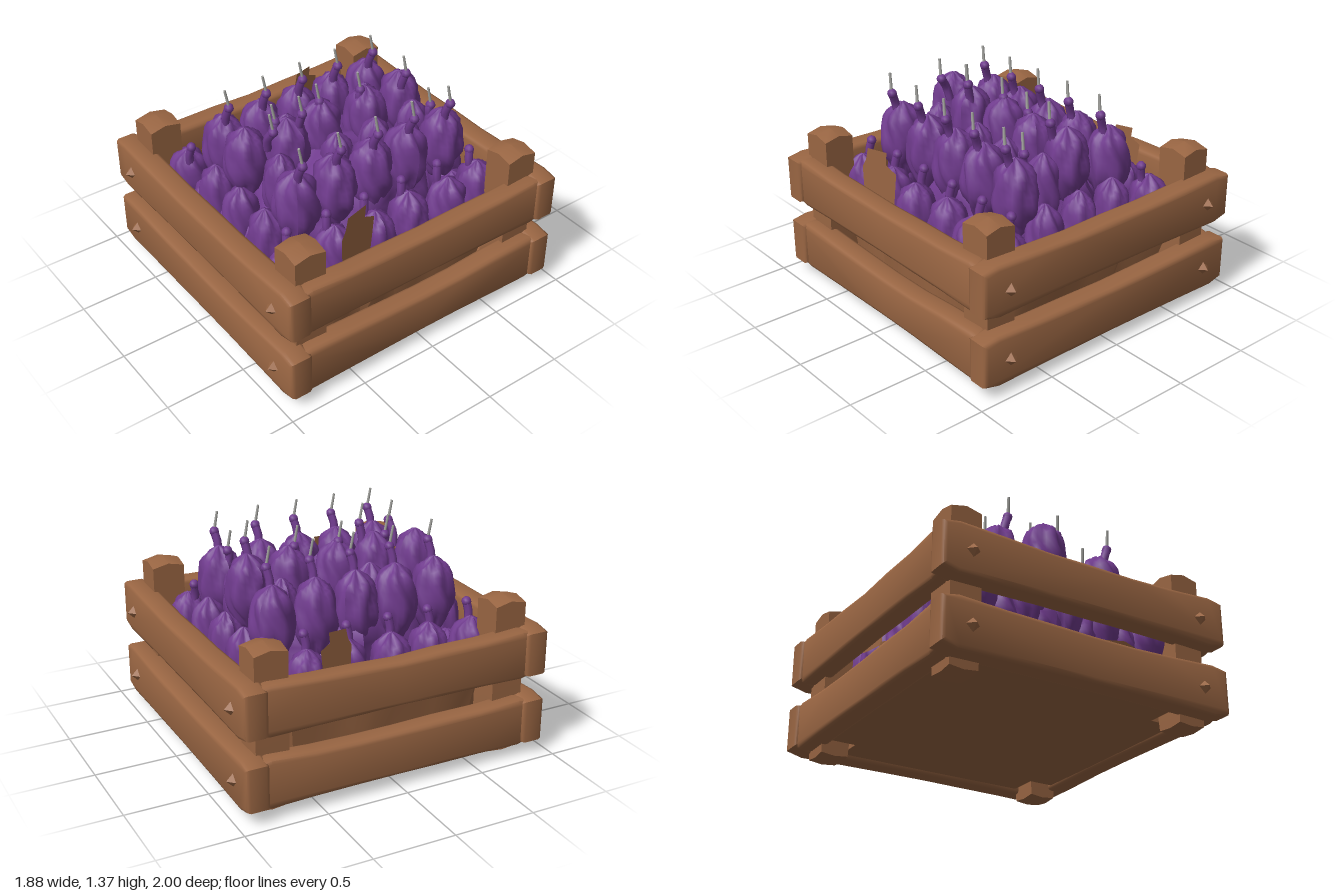
import * as THREE from 'three';
import { toCreasedNormals } from 'three/addons/utils/BufferGeometryUtils.js';

const wood = new THREE.MeshStandardMaterial({ color: 0x9a6643, side: THREE.DoubleSide });
wood.name = 'brown wood';
const purple = new THREE.MeshStandardMaterial({ color: 0x703b8e });
purple.name = 'grape purple';
const grey = new THREE.MeshStandardMaterial({ color: 0xa3a39f });
grey.name = 'stalk grey';

// Repeatable pseudo-random value from 0 to 1
const noise = (n) => {
  const v = Math.sin(n * 127.1 + 3.7) * 43758.5453;
  return v - Math.floor(v);
};

function add(parent, name, geometry, material, x = 0, y = 0, z = 0) {
  const mesh = new THREE.Mesh(geometry, material);
  mesh.name = name;
  mesh.position.set(x, y, z);
  parent.add(mesh);
  return mesh;
}

// Worn plank: wavy long edges, chipped ends and bevelled faces
function plankGeometry(half, height, depth, seed) {
  const b = 0.025, L = half - b, h = height / 2 - b;
  const pts = [];
  const wave = (t) => 0.03 * (1 - t * t) * (0.6 + 0.5 * noise(seed + Math.round(t * 3)));
  for (let i = -3; i <= 3; i++) pts.push(new THREE.Vector2(i / 3 * (L - 0.08), -h + wave(i / 3) * 0.4));
  pts.push(new THREE.Vector2(L, -h + 0.02), new THREE.Vector2(L, h - 0.015));
  for (let i = 3; i >= -3; i--) pts.push(new THREE.Vector2(i / 3 * (L - 0.08), h - wave(i / 3)));
  pts.push(new THREE.Vector2(-L, h - 0.015), new THREE.Vector2(-L, -h + 0.02));
  const g = new THREE.ExtrudeGeometry(new THREE.Shape(pts), {
    depth: depth - 2 * b, bevelEnabled: true, bevelSize: b, bevelThickness: b, bevelSegments: 2,
  });
  g.translate(0, 0, -(depth / 2 - b));
  return toCreasedNormals(g, 0.8);
}

// Corner post with a low peak and a tapered foot
function postGeometry() {
  const g = new THREE.BoxGeometry(0.19, 0.94, 0.2, 2, 4, 2);
  const p = g.attributes.position;
  for (let i = 0; i < p.count; i++) {
    const x = p.getX(i), y = p.getY(i), z = p.getZ(i);
    const centred = (Math.abs(x) < 0.01 ? 0.5 : 0) + (Math.abs(z) < 0.01 ? 0.5 : 0);
    if (y > 0.46) p.setY(i, y + 0.045 * centred);
    if (y < -0.46) p.setXYZ(i, x * 0.9, y + (1 - centred) * 0.02, z * 0.9);
  }
  return toCreasedNormals(g, 0.5);
}

// Lumpy bunch: a sphere with rounded lobes
function bunchGeometry(phase) {
  const g = new THREE.SphereGeometry(1, 28, 16);
  const p = g.attributes.position, v = new THREE.Vector3();
  for (let i = 0; i < p.count; i++) {
    v.fromBufferAttribute(p, i);
    const a = Math.atan2(v.z, v.x), f = Math.acos(THREE.MathUtils.clamp(v.y, -1, 1));
    const r = 0.98 + 0.1 * Math.sin(f) * Math.cos(6 * a + 2 * Math.sin(3 * f + phase)) + 0.03 * Math.cos(7 * f);
    const taper = v.y < 0 ? 1 + 0.15 * v.y : 1;
    p.setXYZ(i, v.x * r * taper, v.y * r, v.z * r * taper);
  }
  g.computeVertexNormals();
  return g;
}

// Jagged lining that follows the inside of the crate with cut corners
function liningGeometry() {
  const path = [];
  const corners = [[0.77, -0.62], [0.77, 0.62], [0.62, 0.79], [-0.62, 0.79],
    [-0.77, 0.62], [-0.77, -0.62], [-0.62, -0.79], [0.62, -0.79]];
  corners.forEach(([x, z], k) => {
    const [x2, z2] = corners[(k + 1) % 8], n = k % 2 ? 1 : 9;
    for (let i = 0; i < n; i++) path.push([x + (x2 - x) * i / n, z + (z2 - z) * i / n]);
  });
  const pos = [], index = [], n = path.length;
  path.forEach(([x, z], i) => {
    const top = (Math.abs(x) > 0.7 ? 0.44 : 0.36) + 0.1 * noise(i);
    const lean = 0.93 + 0.07 * noise(i + 40);
    pos.push(x * 0.9, 0.13, z * 0.9, x * lean, top, z * lean);
    const a = 2 * i, b = 2 * ((i + 1) % n);
    index.push(a, a + 1, b, b, a + 1, b + 1);
  });
  const g = new THREE.BufferGeometry();
  g.setAttribute('position', new THREE.Float32BufferAttribute(pos, 3));
  g.setIndex(index);
  return toCreasedNormals(g, 0.4);
}

function buildCrate() {
  const crate = new THREE.Group();
  crate.name = 'crate';
  const rows = [[0.215, 0.31], [0.645, 0.31]];
  const nail = new THREE.OctahedronGeometry(0.045);
  rows.forEach(([y, h], r) => {
    for (const s of [-1, 1]) {
      add(crate, 'endPlank', plankGeometry(0.94, h, 0.145, r * 9 + s), wood, 0, y, s * 0.885);
      const side = add(crate, 'sidePlank', plankGeometry(0.9, h - 0.01, 0.135, r * 5 + s + 30), wood, s * 0.855, y, 0);
      side.rotation.y = Math.PI / 2;
      for (const x of [-0.76, 0.76]) add(crate, 'nail', nail, wood, x, y - 0.005, s * 0.953);
    }
  });
  for (const x of [-0.745, 0.745]) {
    for (const z of [-0.755, 0.755]) add(crate, 'cornerPost', postGeometry(), wood, x, 0.47, z);
  }
  // Floor with notched corners
  const c = [[0.8, 0.63], [0.63, 0.63], [0.63, 0.83], [-0.63, 0.83], [-0.63, 0.63], [-0.8, 0.63],
    [-0.8, -0.63], [-0.63, -0.63], [-0.63, -0.83], [0.63, -0.83], [0.63, -0.63], [0.8, -0.63]];
  const floor = new THREE.ExtrudeGeometry(new THREE.Shape(c.map(([x, z]) => new THREE.Vector2(x, z))),
    { depth: 0.05, bevelEnabled: false });
  floor.rotateX(-Math.PI / 2);
  add(crate, 'floor', floor, wood, 0, 0.09, 0);
  add(crate, 'lining', liningGeometry(), wood);
  // Loose flaps standing up from the lining
  for (const [x, z, s] of [[0.69, 0.33, 1], [-0.71, -0.3, 0.8]]) {
    const flap = new THREE.Shape([[-0.12, -0.32], [0.1, -0.32], [0.14, 0.02], [0.06, 0.06], [0.07, 0.14],
      [-0.08, 0.13], [-0.1, 0.05], [-0.13, 0]].map(([u, v]) => new THREE.Vector2(u * s, v * s)));
    const m = add(crate, 'liningFlap', new THREE.ShapeGeometry(flap), wood, x, 0.83, z);
    m.rotation.y = Math.PI / 2 + 0.2;
  }
  return crate;
}

function buildGrapes() {
  const grapes = new THREE.Group();
  grapes.name = 'grapes';
  const shapes = [0, 1.3, 2.6].map(bunchGeometry);
  let n = 0;
  const bunch = (x, top, z, r = 0.13, half = 0.22) => {
    const m = add(grapes, 'grapeBunch', shapes[n % 3], purple, x, top - half, z);
    m.scale.set(r, half, r);
    m.rotation.y = noise(++n) * 6;
  };
  // Bent purple stem, optionally carrying a thin grey stalk
  const stem = (x0, y0, x, y, z, stalk) => {
    const curve = new THREE.CatmullRomCurve3([
      new THREE.Vector3(x0, y0 - 0.06, z), new THREE.Vector3(x0 + (x - x0) * 0.3, y0 + 0.02, z + 0.01),
      new THREE.Vector3(x, y, z)]);
    add(grapes, 'stem', new THREE.TubeGeometry(curve, 5, 0.026, 7), purple);
    add(grapes, 'stemTip', new THREE.SphereGeometry(0.03, 8, 6), purple, x, y, z);
    if (!stalk) return;
    const rod = add(grapes, 'stalk', new THREE.CylinderGeometry(0.008, 0.01, 0.13, 6), grey, x, y + 0.06, z + 0.01);
    rod.rotation.set(0.16, 0, 0.06);
  };

  // Hidden heap that fills the middle
  const heap = add(grapes, 'grapeHeap', shapes[0], purple, 0, 0.55, 0);
  heap.scale.set(0.5, 0.4, 0.62);

  // Low outer bunches along both sides
  for (const s of [-1, 1]) {
    [-0.67, -0.42, -0.15, 0.12, 0.385, 0.655].forEach((z, i) => {
      bunch(s * (0.55 + 0.03 * (i % 2)), 0.8, z, 0.125, 0.22);
      stem(s * 0.52, 0.77, s * 0.5, 0.86, z + 0.02, false);
    });
    // Low bunches at the front and back
    for (const x of [-0.26, 0, 0.26]) bunch(x, 0.86, s * 0.655, 0.115, 0.25);
    for (const x of [-0.4, -0.13, 0.13, 0.4]) bunch(x, 0.66, s * 0.61, 0.13, 0.17);
  }

  // Upper rows on either side of the middle
  [-0.52, -0.25, 0.01, 0.27, 0.53].forEach((z) => {
    bunch(-0.35, 1.12, z, 0.13, 0.24);
    stem(-0.32, 1.1, -0.28, 1.2, z, true);
    bunch(0.37, 1.13, z - 0.01, 0.135, 0.24);
    stem(0.4, 1.11, 0.44, 1.2, z - 0.01, true);
  });
  stem(0.29, 1.08, 0.29, 1.12, -0.51, true);

  // Highest row in the middle
  for (const [x, z, tx, ty, tz] of [[-0.02, -0.52, 0.08, 1.24, -0.49], [0, -0.25, 0, 1.19, -0.21],
    [-0.04, 0.05, -0.04, 1.19, 0.06], [0, 0.32, -0.03, 1.18, 0.38], [-0.06, 0.57, 0.1, 1.22, 0.48]]) {
    bunch(x, 1.2, z, 0.13, 0.23);
    stem(x + (tx - x) * 0.6, 1.13, tx, ty, tz, true);
  }
  stem(0.04, 1.13, 0.07, 1.24, 0.26, true);
  for (const [x, z] of [[0.14, -0.5], [0.15, 0.07], [0.13, 0.46], [0.16, -0.2], [-0.18, 0.2], [-0.18, -0.38]]) {
    bunch(x, 1.08, z, 0.105, 0.24);
  }
  return grapes;
}

export function createModel() {
  const model = new THREE.Group();
  model.name = 'crateOfGrapes';
  model.add(buildCrate(), buildGrapes());
  return model;
}
